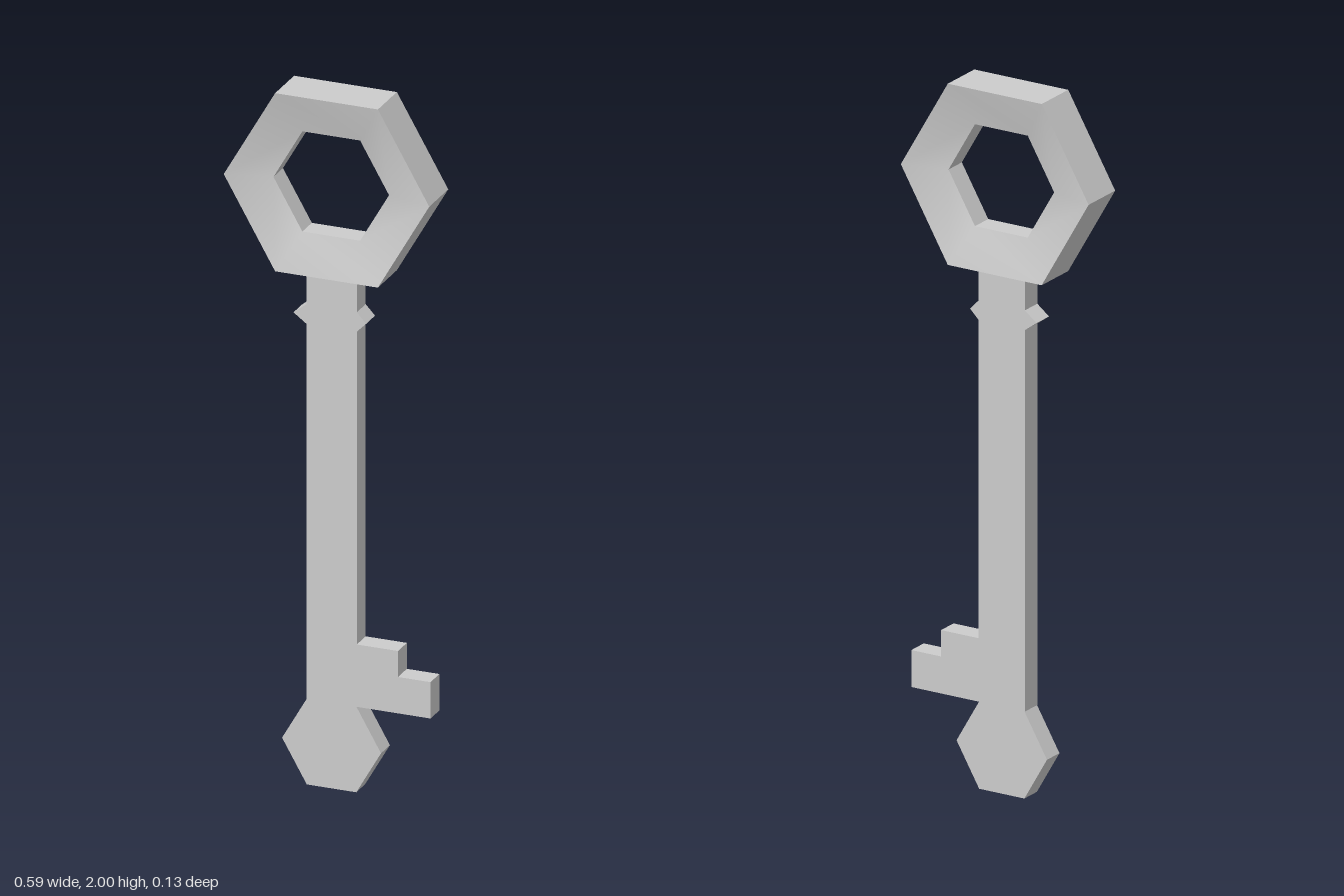
import * as THREE from 'three';
import { toCreasedNormals } from 'three/addons/utils/BufferGeometryUtils.js';

const HALF_THICK = 0.031; // half thickness of the flat parts
const HEX = Math.sqrt(3) / 2;

export function createModel() {
  const key = new THREE.Group();
  key.name = 'key';
  const material = new THREE.MeshStandardMaterial({ color: 0xcccccc });

  const add = (name, geometry) => {
    const mesh = new THREE.Mesh(toCreasedNormals(geometry, Math.PI / 6), material);
    mesh.name = name;
    key.add(mesh);
    return mesh;
  };

  // Flat plate cut from an outline of [x, y] points
  const plate = (points) => {
    const shape = new THREE.Shape(points.map(([x, y]) => new THREE.Vector2(x, y)));
    return new THREE.ExtrudeGeometry(shape, { depth: 2 * HALF_THICK, bevelEnabled: false })
      .translate(0, 0, -HALF_THICK);
  };

  // Hexagonal ring handle, thinning towards its hole
  const outer = 0.297, inner = 0.167, zOuter = 0.066, zInner = 0.033;
  const section = [
    [inner, -zInner], [outer, -zOuter], [outer, zOuter], [inner, zInner], [inner, -zInner],
  ].map(([r, h]) => new THREE.Vector2(r, h));
  const ring = new THREE.LatheGeometry(section, 6, Math.PI / 2).rotateX(Math.PI / 2);
  add('handleRing', ring).position.y = 2 - outer * HEX;

  // Straight shaft with a stepped bit on the left
  const w = 0.073;
  add('shaftAndBit', plate([
    [-w, 0.25], [0.286, 0.25], [0.286, 0.355], [0.192, 0.355],
    [0.192, 0.43], [w, 0.43], [w, 1.49], [-w, 1.49],
  ]));

  // Small pointed collar nubs on both sides of the shaft
  add('leftCollarNub', plate([[w, 1.333], [0.1, 1.36], [w, 1.389]]));
  add('rightCollarNub', plate([[-w, 1.389], [-0.11, 1.36], [-w, 1.333]]));

  // Hexagonal tip
  const r = 0.143;
  const corners = Array.from({ length: 6 }, (_, i) => {
    const a = (i * Math.PI) / 3;
    return [r * Math.cos(a), r * HEX + r * Math.sin(a) + 0.003];
  });
  add('hexagonTip', plate(corners));

  return key;
}
